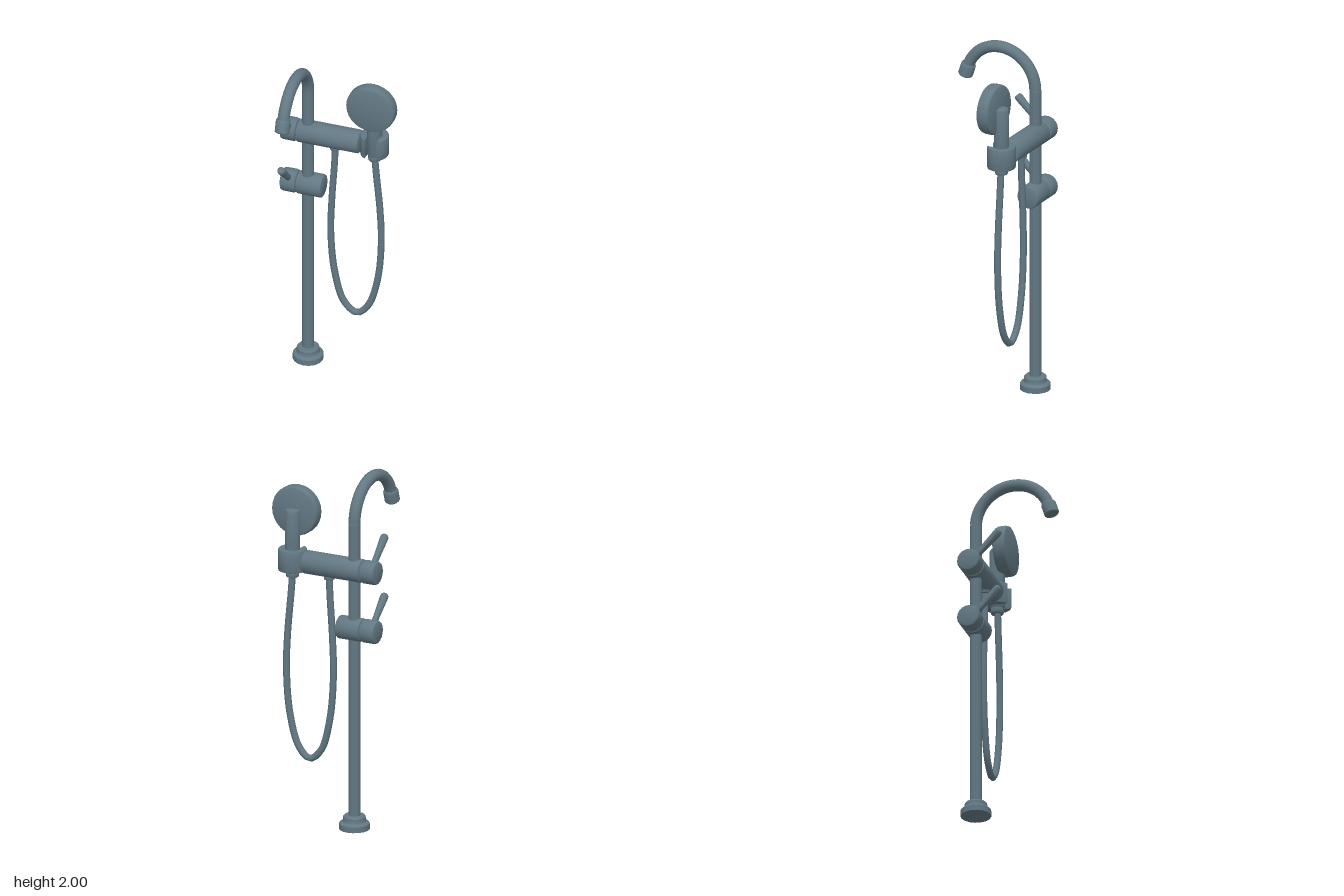
import * as THREE from 'three';
import { toCreasedNormals } from 'three/addons/utils/BufferGeometryUtils.js';

const POST_X = -0.19, Z = -0.196, HEAD_X = 0.195;

export function createModel() {
  const model = new THREE.Group();
  model.name = 'floorStandingTap';
  const metal = new THREE.MeshStandardMaterial({ color: 0x627883 });
  metal.name = 'slateMetal';

  const add = (name, geometry, x = 0, y = 0, z = 0, parent = model) => {
    const mesh = new THREE.Mesh(geometry, metal);
    mesh.name = name;
    mesh.position.set(x, y, z);
    parent.add(mesh);
    return mesh;
  };
  // Solid of revolution about y from [radius, height] pairs
  const turned = (profile, sides = 18) => toCreasedNormals(
    new THREE.LatheGeometry(profile.map(([r, h]) => new THREE.Vector2(r, h)), sides), 0.6);
  // Chamfered cylinder from y = a to y = b
  const drum = (r, a, b, c = 0.012, sides = 18) => turned([
    [0, a], [r - c, a], [r - c * 0.3, a + c * 0.3], [r, a + c],
    [r, b - c], [r - c * 0.3, b - c * 0.3], [r - c, b], [0, b]], sides);
  // Chamfered cylinder lying along x from a to b
  const barX = (r, a, b, c) => drum(r, -b, -a, c).rotateZ(Math.PI / 2);

  // Stepped floor base
  add('floorBase', turned([[0, 0], [0.085, 0], [0.085, 0.032], [0.078, 0.04], [0.066, 0.044],
    [0.063, 0.05], [0.063, 0.07], [0.055, 0.08], [0, 0.08]], 16), POST_X, 0, Z);

  // Post and gooseneck spout as one tube
  const R = 0.215, cy = 1.752, cz = Z + R, tilt = Math.PI / 10;
  const arc = (a) => new THREE.Vector3(POST_X, cy + R * Math.sin(a), cz - R * Math.cos(a));
  const path = new THREE.CurvePath();
  path.add(new THREE.LineCurve3(new THREE.Vector3(POST_X, 0.06, Z), arc(0)));
  add('post', new THREE.CylinderGeometry(0.033, 0.033, cy - 0.06, 16), POST_X, (cy + 0.06) / 2, Z);
  const arcPoints = [];
  for (let i = 0; i <= 16; i++) arcPoints.push(arc((Math.PI - tilt) * i / 16));
  add('spout', new THREE.TubeGeometry(new THREE.CatmullRomCurve3(arcPoints), 32, 0.033, 16));

  // Flared outlet continuing the end of the spout
  const outlet = add('spoutOutlet', turned([[0, -0.06], [0.036, -0.06], [0.042, -0.054],
    [0.042, 0.008], [0.036, 0.018], [0, 0.018]], 12));
  outlet.position.copy(arc(Math.PI - tilt));
  outlet.rotation.x = -tilt;

  // Valve bodies, each with an end knob and a slanted lever
  for (const [name, y, end] of [['upper', 1.49, 0.116], ['lower', 1.15, -0.098]]) {
    const valve = new THREE.Group();
    valve.name = name + 'Valve';
    valve.position.set(0, y, Z);
    model.add(valve);
    add('valveBody', barX(0.066, -0.246, end, 0.01), 0, 0, 0, valve);
    add('valveKnob', barX(0.066, -0.338, -0.247, 0.014), 0, 0, 0, valve);
    const lever = add('lever', turned([[0, 0.02], [0.018, 0.02], [0.018, 0.1], [0.023, 0.21],
      [0.022, 0.229], [0.015, 0.238], [0, 0.238]], 12), -0.291, 0, 0, valve);
    lever.rotation.x = Math.PI / 4;
  }

  // Hand shower cradle: upright ring with an open front
  const outer = 0.073, inner = 0.046, gap = 0.038;
  const ao = Math.asin(gap / outer), ai = Math.asin(gap / inner), down = -Math.PI / 2;
  const ring = new THREE.Shape();
  ring.absarc(0, 0, outer, down + ao, down + 2 * Math.PI - ao, false);
  ring.absarc(0, 0, inner, down + 2 * Math.PI - ai, down + ai, true);
  ring.closePath();
  const cradle = new THREE.ExtrudeGeometry(ring, {
    depth: 0.112, bevelEnabled: true, bevelThickness: 0.007, bevelSize: 0.006,
    bevelSegments: 2, curveSegments: 18 }).rotateX(-Math.PI / 2);
  add('showerCradle', toCreasedNormals(cradle, 0.6), HEAD_X, 1.437, Z);

  // Hand shower: handle, round head and hose nut
  add('showerHandle', drum(0.042, 1.42, 1.78, 0.014, 16), HEAD_X, 0, Z);
  add('handleNut', drum(0.036, 1.39, 1.43, 0.008, 14), HEAD_X, 0, Z);
  const head = drum(0.141, -0.038, 0.038, 0.017, 28).rotateX(Math.PI / 2);
  add('showerHead', head, HEAD_X, 1.763, -0.148);

  // Hose with its collar under the upper valve
  add('hoseCollar', drum(0.03, 1.41, 1.44, 0.006, 14), -0.033, 0, Z);
  const hose = [[-0.033, 1.43], [-0.036, 1.33], [-0.052, 1.08], [-0.058, 0.85], [-0.035, 0.6],
    [0.018, 0.42], [0.09, 0.36], [0.157, 0.42], [0.212, 0.6], [0.234, 0.85], [0.227, 1.06],
    [0.205, 1.3], [0.196, 1.41]].map(([x, y]) => new THREE.Vector3(x, y, Z + 0.002));
  add('hose', new THREE.TubeGeometry(new THREE.CatmullRomCurve3(hose), 72, 0.019, 12));

  return model;
}
